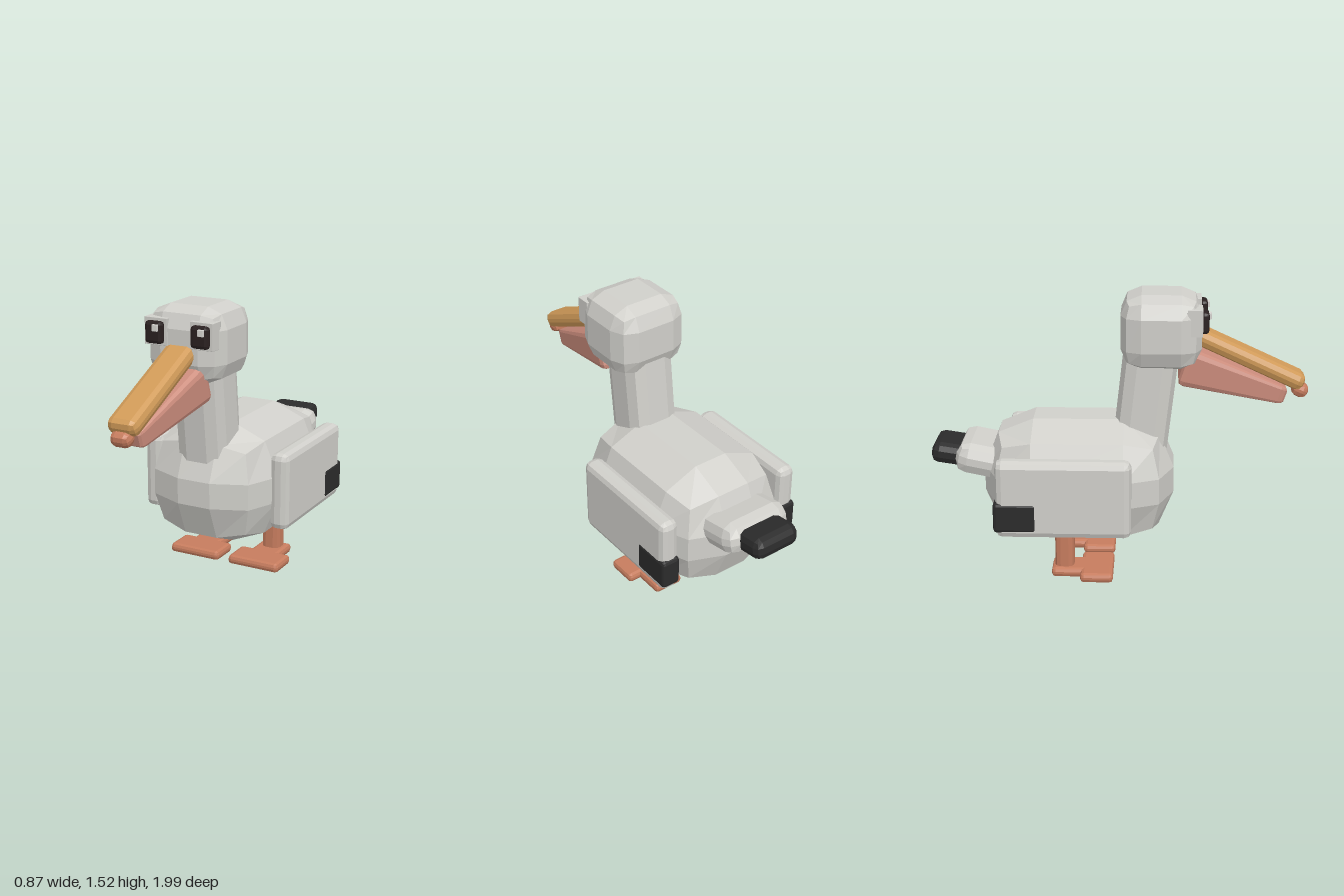
import * as THREE from 'three';
import { RoundedBoxGeometry } from 'three/addons/geometries/RoundedBoxGeometry.js';

function mat(name, color) {
  const m = new THREE.MeshStandardMaterial({ color, flatShading: true });
  m.name = name;
  return m;
}

export function createModel() {
  const plumage = mat('pale grey plumage', 0xd0cfca);
  const black = mat('black feathers', 0x2b2b2b);
  const beakOrange = mat('beak orange', 0xd09a58);
  const pouchPink = mat('pouch pink', 0xcb8c7c);
  const skin = mat('leg orange', 0xc67c5e);
  const eyeDark = mat('eye dark', 0x2a2020);
  const glint = mat('eye glint', 0xd8d6d2);

  const model = new THREE.Group();
  model.name = 'bird';

  // Box with two-facet rounded edges, tilted about x
  function block(name, material, [w, h, d], r, [x, y, z], tilt = 0) {
    const mesh = new THREE.Mesh(new RoundedBoxGeometry(w, h, d, 1, r), material);
    mesh.name = name;
    mesh.position.set(x, y, z);
    mesh.rotation.x = tilt;
    model.add(mesh);
    return mesh;
  }

  // Body, neck and head
  block('body', plumage, [0.72, 0.67, 1.01], 0.265, [0, 0.51, -0.215]);
  block('neck', plumage, [0.28, 0.8, 0.29], 0.08, [0, 0.9, 0.131], 0.11);
  block('head', plumage, [0.43, 0.39, 0.42], 0.108, [0, 1.323, 0.215]);

  // Tail and its dark tip
  block('tail', plumage, [0.4, 0.17, 0.3], 0.065, [0, 0.617, -0.72], 0.2);
  block('tailTip', black, [0.27, 0.115, 0.24], 0.04, [0, 0.638, -0.883], 0.15);

  // Upper beak with a hooked tip
  block('upperBeak', beakOrange, [0.166, 0.09, 0.73], 0.035, [0, 1.186, 0.632], 0.43);
  block('beakHook', skin, [0.11, 0.075, 0.085], 0.03, [0, 0.995, 0.948], 0.43);

  // Throat pouch, narrowing towards the front
  const pouch = block('pouch', pouchPink, [0.265, 0.215, 0.57], 0.035, [0, 1.052, 0.6], 0.316);
  const p = pouch.geometry.attributes.position;
  for (let i = 0; i < p.count; i++) {
    const t = p.getZ(i) / 0.57 + 0.5;
    p.setX(i, p.getX(i) * (1 - 0.58 * t));
    p.setY(i, p.getY(i) * (1 - 0.58 * t));
  }
  pouch.geometry.computeVertexNormals();

  for (const s of [1, -1]) {
    const side = s > 0 ? 'left' : 'right';

    // Eye on a square socket, with a glint offset the same way on both sides
    block(side + 'EyeSocket', plumage, [0.13, 0.14, 0.08], 0.002, [s * 0.13, 1.39, 0.387]);
    block(side + 'Eye', eyeDark, [0.1, 0.115, 0.045], 0.018, [s * 0.13, 1.388, 0.437]);
    block(side + 'EyeGlint', glint, [0.032, 0.034, 0.02], 0.002, [s * 0.13 + 0.017, 1.415, 0.461]);

    // Wing with a dark patch wrapping its rear lower corner
    block(side + 'Wing', plumage, [0.105, 0.42, 0.7], 0.035, [s * 0.381, 0.508, -0.28]);
    block(side + 'WingTip', black, [0.106, 0.165, 0.225], 0.018, [s * 0.384, 0.413, -0.53]);

    // Leg and T-shaped foot
    block(side + 'Leg', skin, [0.104, 0.3, 0.102], 0.03, [s * 0.184, 0.16, -0.29]);
    block(side + 'Toes', skin, [0.304, 0.052, 0.175], 0.02, [s * 0.183, 0.027, -0.115]);
    block(side + 'Heel', skin, [0.17, 0.052, 0.2], 0.02, [s * 0.183, 0.027, -0.258]);
  }
  return model;
}
